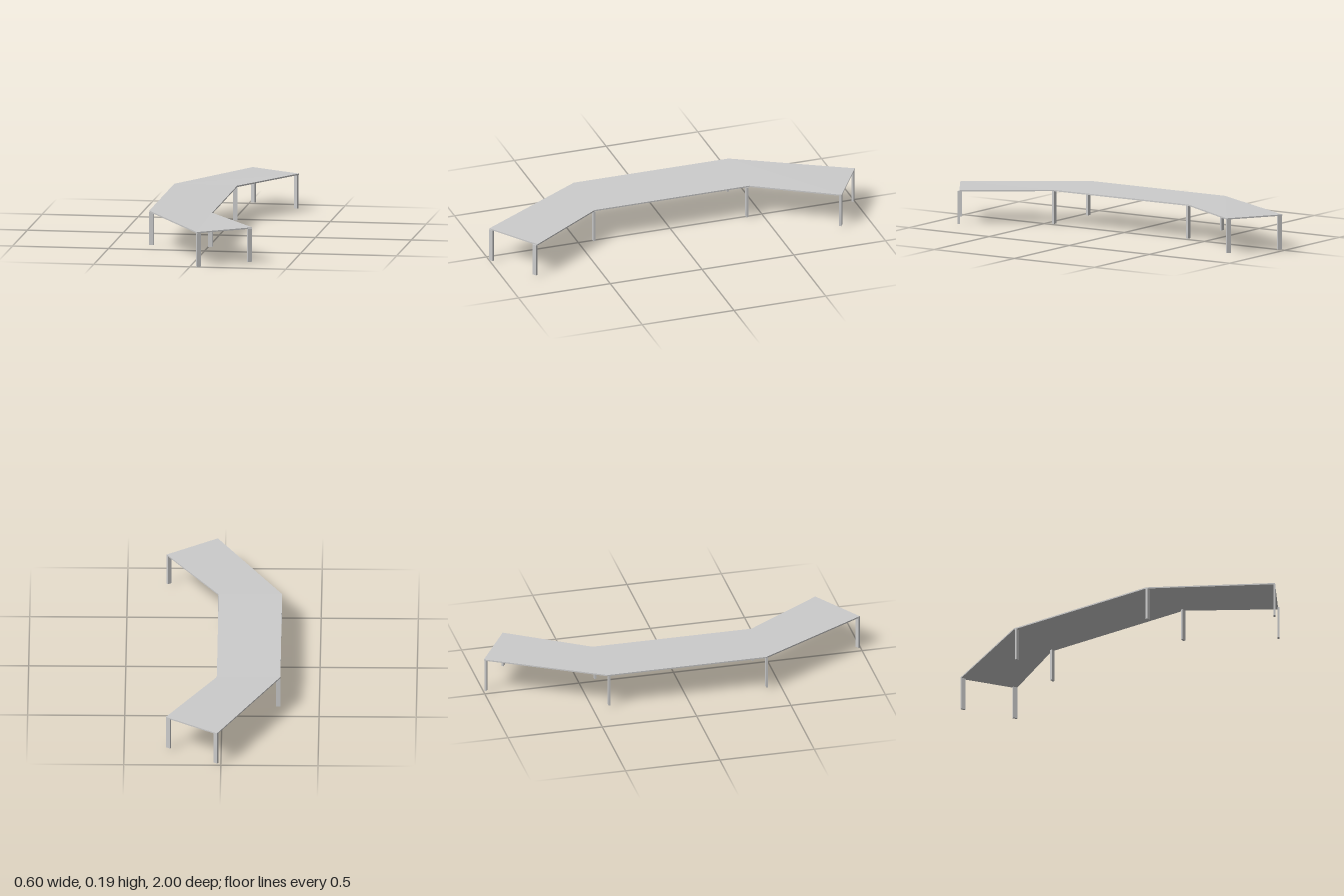
import * as THREE from 'three';

const THICK = 0.007;
const material = new THREE.MeshStandardMaterial({ color: 0xcccccc, flatShading: true });

// Thin slab: a box whose corners move to [x, topY, z] points
// (back outer, back inner, front outer, front inner).
function slab(name, backOuter, backInner, frontOuter, frontInner) {
  const geo = new THREE.BoxGeometry(1, 1, 1);
  const p = geo.attributes.position;
  for (let i = 0; i < p.count; i++) {
    const inner = p.getX(i) > 0;
    const c = p.getZ(i) > 0 ? (inner ? frontInner : frontOuter) : (inner ? backInner : backOuter);
    p.setXYZ(i, c[0], c[1] - (p.getY(i) > 0 ? 0 : THICK), c[2]);
  }
  geo.computeVertexNormals();
  const mesh = new THREE.Mesh(geo, material);
  mesh.name = name;
  return mesh;
}

// Flat rectangular leg from the floor height up to the underside of the top
function leg(name, x, z, bottom, top, turn) {
  const mesh = new THREE.Mesh(new THREE.BoxGeometry(0.023, top - bottom, 0.011), material);
  mesh.position.set(x, (top + bottom) / 2, z);
  mesh.rotation.y = turn;
  mesh.name = name;
  return mesh;
}

export function createModel() {
  const group = new THREE.Group();
  group.name = 'angledTable';

  // Seam and end corners of the three table tops
  const backEndOuter = [0.02, 0.19, -1], backEndInner = [0.285, 0.19, -0.835];
  const backSeamOuter = [-0.3, 0.19, -0.423], backSeamInner = [0.027, 0.188, -0.423];
  const frontSeamOuter = [-0.3, 0.19, 0.42], frontSeamInner = [0.027, 0.187, 0.42];
  const frontEndOuter = [0.037, 0.182, 0.997], frontEndInner = [0.298, 0.185, 0.825];

  group.add(
    slab('backTop', backEndOuter, backEndInner, backSeamOuter, backSeamInner),
    slab('middleTop', backSeamOuter, backSeamInner, frontSeamOuter, frontSeamInner),
    slab('frontTop', frontSeamOuter, frontSeamInner, frontEndOuter, frontEndInner),
  );

  // Legs under every corner; the end pairs follow the slanted end edges
  const legs = [
    ['backEndOuterLeg', 0.026, -0.987, 0.008, 0.184, -0.557],
    ['backEndInnerLeg', 0.271, -0.836, 0.008, 0.184, -0.557],
    ['backSeamOuterLeg', -0.288, -0.412, 0.012, 0.184, 0],
    ['backSeamInnerLeg', 0.019, -0.412, 0.01, 0.182, 0],
    ['frontSeamOuterLeg', -0.288, 0.423, 0.012, 0.184, 0],
    ['frontSeamInnerLeg', 0.019, 0.423, 0.01, 0.181, 0],
    ['frontEndOuterLeg', 0.0445, 0.988, 0, 0.176, 0.577],
    ['frontEndInnerLeg', 0.286, 0.836, 0.007, 0.179, 0.577],
  ];
  for (const l of legs) group.add(leg(...l));
  return group;
}
